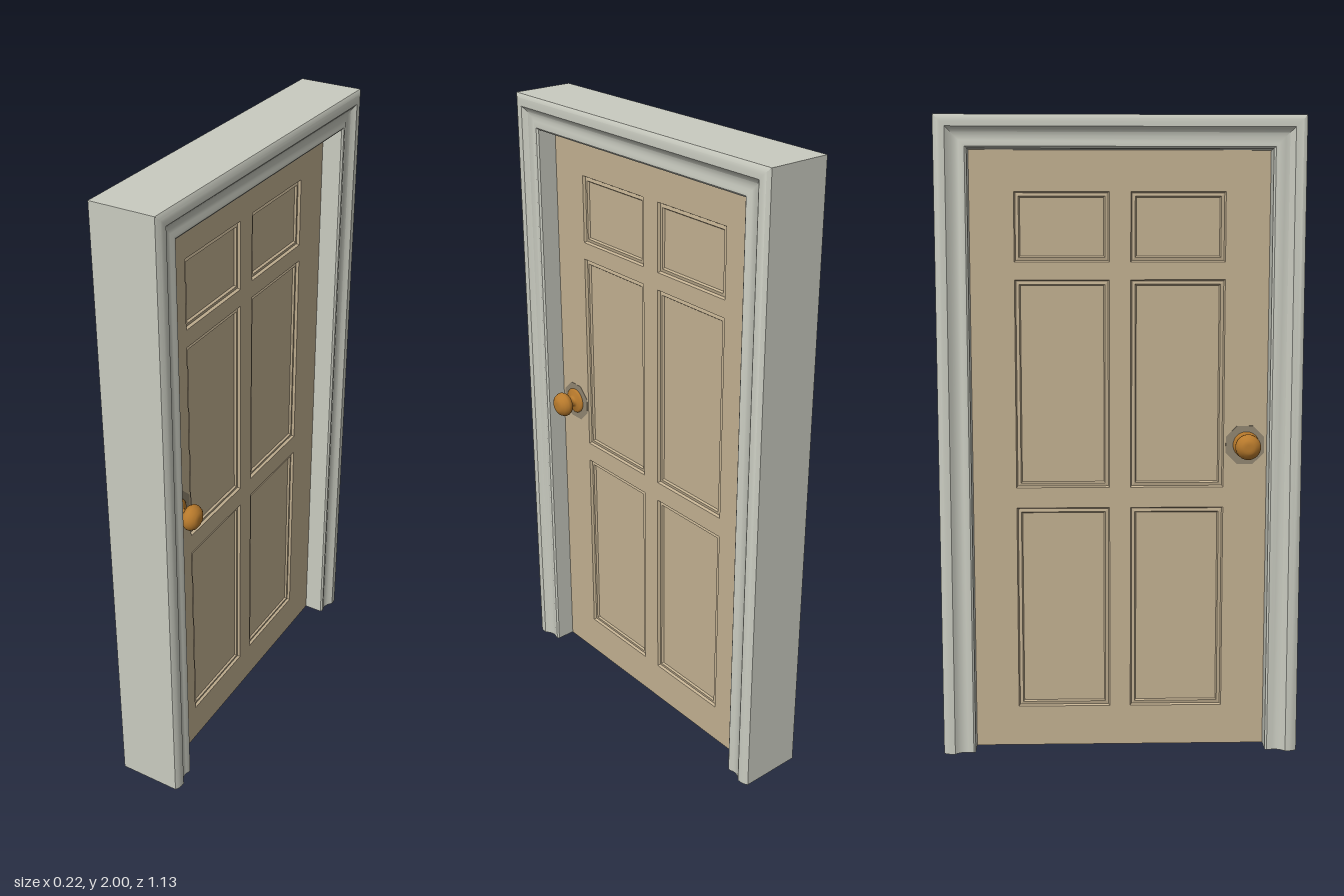
import * as THREE from 'three';
import { toCreasedNormals } from 'three/addons/utils/BufferGeometryUtils.js';

const mat = (name, color) => Object.assign(new THREE.MeshStandardMaterial({ color }), { name });

function mesh(name, geometry, material) {
  const m = new THREE.Mesh(geometry, material);
  m.name = name;
  return m;
}

// Skins a list of closed point loops with quads
function skin(loops, crease = 0.6) {
  const pos = [];
  const n = loops[0].length;
  for (let i = 0; i < loops.length - 1; i++) {
    for (let j = 0; j < n; j++) {
      const k = (j + 1) % n;
      const a = loops[i][j], b = loops[i][k], c = loops[i + 1][k], d = loops[i + 1][j];
      pos.push(...a, ...b, ...c, ...a, ...c, ...d);
    }
  }
  const g = new THREE.BufferGeometry();
  g.setAttribute('position', new THREE.Float32BufferAttribute(pos, 3));
  g.computeVertexNormals();
  return toCreasedNormals(g, crease);
}

const HALF = 0.565, TOP = 2, FACE = 0.03;

// Casing cross-section: [inset from the outer edge, x]
const side = [
  [0, 0.1], [0.012, 0.107], [0.022, 0.109], [0.036, 0.109], [0.042, 0.104],
  [0.052, 0.097], [0.064, 0.093], [0.076, 0.093], [0.086, 0.097], [0.094, 0.097], [0.1, 0.092],
];
const profile = [...side, ...side.map(([d, x]) => [d, -x]).reverse()];

function rectLoop(x, z0, z1, y0, y1, inset) {
  return [
    [x, y0 + inset, z1 - inset], [x, y0 + inset, z0 + inset],
    [x, y1 - inset, z0 + inset], [x, y1 - inset, z1 - inset],
  ];
}

export function createModel() {
  const model = new THREE.Group();
  model.name = 'door';
  const paint = mat('frame paint', 0xc9cbc0);
  const wood = mat('door tan', 0xc2b091);
  const shade = mat('knob plate brown', 0x908570);
  const brass = mat('brass', 0xb87a2c);

  // Mitred frame swept up, across and down
  const stations = [
    (d) => [0, HALF - d], (d) => [TOP - d, HALF - d],
    (d) => [TOP - d, d - HALF], (d) => [0, d - HALF],
  ];
  const loops = stations.map((f) => profile.map(([d, x]) => [x, ...f(d)]));
  model.add(mesh('frame', skin(loops), paint));

  // Feet of the two posts
  const footShape = new THREE.Shape(profile.map(([d, x]) => new THREE.Vector2(x, HALF - d)));
  for (const s of [1, -1]) {
    const foot = mesh('postFoot', new THREE.ShapeGeometry(footShape), paint);
    foot.rotation.set(Math.PI / 2, 0, s > 0 ? 0 : Math.PI);
    model.add(foot);
  }

  // Door slab with six panel openings
  const dz = 0.465, dTop = 1.905;
  const slab = new THREE.Shape([[-dz, 0], [dz, 0], [dz, dTop], [-dz, dTop]].map((p) => new THREE.Vector2(...p)));
  const panels = [];
  for (const [y0, y1] of [[0.13, 0.785], [0.85, 1.505], [1.56, 1.775]]) {
    for (const [z0, z1] of [[0.033, 0.328], [-0.328, -0.033]]) {
      panels.push([z0, z1, y0, y1]);
      slab.holes.push(new THREE.Path([[z0, y0], [z0, y1], [z1, y1], [z1, y0]].map((p) => new THREE.Vector2(...p))));
    }
  }
  const slabGeometry = new THREE.ExtrudeGeometry(slab, { depth: FACE * 2, bevelEnabled: false });
  slabGeometry.translate(0, 0, -FACE).rotateY(Math.PI / 2);
  model.add(mesh('doorSlab', slabGeometry, wood));

  // Moulded panels on both faces
  for (const turn of [0, Math.PI]) {
    const faceGroup = new THREE.Group();
    faceGroup.name = 'panels';
    faceGroup.rotation.y = turn;
    for (const r of panels) {
      const steps = [[FACE, 0], [0.022, 0.004], [0.024, 0.014], [0.018, 0.018], [0.018, 0.02]];
      faceGroup.add(mesh('panelMoulding', skin(steps.map(([x, i]) => rectLoop(x, ...r, i)), 0.2), wood));
      const [z0, z1, y0, y1] = r;
      const field = mesh('panelField', new THREE.PlaneGeometry(z1 - z0 - 0.04, y1 - y0 - 0.04), wood);
      field.rotation.y = Math.PI / 2;
      field.position.set(0.018, (y0 + y1) / 2, (z0 + z1) / 2);
      faceGroup.add(field);
    }
    model.add(faceGroup);
  }

  // Knob, rosette and thin plate on both faces
  const knobProfile = [
    [0.042, 0], [0.042, 0.004], [0.036, 0.009], [0.022, 0.011], [0.016, 0.016], [0.015, 0.026],
    [0.022, 0.03], [0.034, 0.037], [0.04, 0.047], [0.04, 0.056], [0.034, 0.068],
    [0.024, 0.075], [0.018, 0.078], [0.01, 0.079], [0, 0.079],
  ].map((p) => new THREE.Vector2(...p));
  for (const s of [1, -1]) {
    const handle = new THREE.Group();
    handle.name = 'handle';
    handle.position.set(s * FACE, 0.985, 0.4);
    handle.rotation.z = -s * Math.PI / 2;
    handle.add(mesh('knob', new THREE.LatheGeometry(knobProfile, 32), brass));
    const plate = mesh('knobPlate', new THREE.CylinderGeometry(0.066, 0.066, 0.002, 8), shade);
    plate.rotation.y = Math.PI / 8;
    plate.position.z = -0.004;
    handle.add(plate);
    model.add(handle);
  }
  return model;
}
